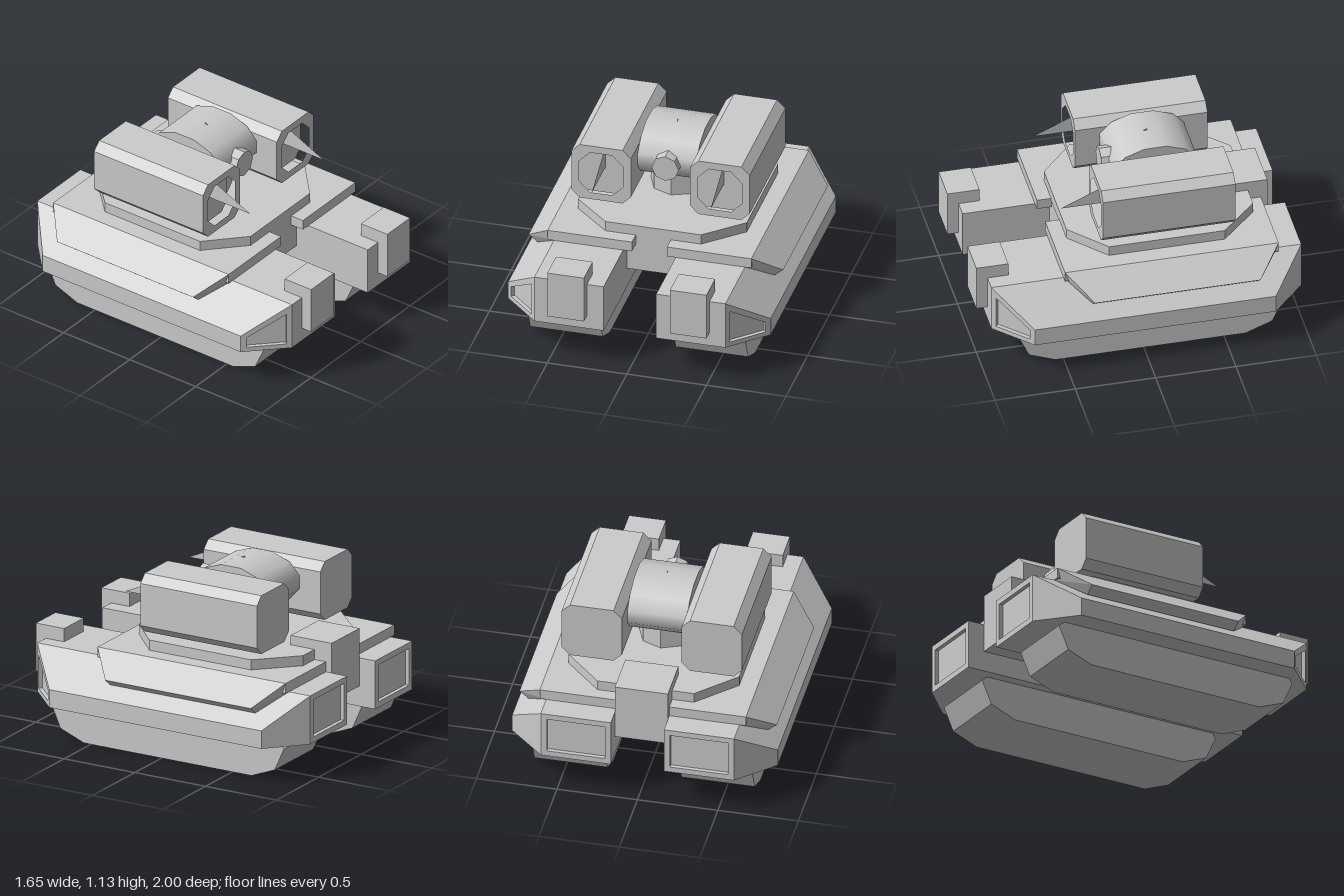
import * as THREE from 'three';
import { ConvexGeometry } from 'three/addons/geometries/ConvexGeometry.js';

const grey = new THREE.MeshStandardMaterial({ color: 0xcccccc, flatShading: true });
const smooth = new THREE.MeshStandardMaterial({ color: 0xcccccc });
const thin = new THREE.MeshStandardMaterial({ color: 0xcccccc, side: THREE.DoubleSide });
const V = (x, y, z) => new THREE.Vector3(x, y, z);

export function createModel() {
  const model = new THREE.Group();
  const add = (name, geometry, material = grey) => {
    const mesh = new THREE.Mesh(geometry, material);
    mesh.name = name;
    model.add(mesh);
    return mesh;
  };
  // Box given by its extents on each axis
  const box = (name, x0, x1, y0, y1, z0, z1) =>
    add(name, new THREE.BoxGeometry(x1 - x0, y1 - y0, z1 - z0)
      .translate((x0 + x1) / 2, (y0 + y1) / 2, (z0 + z1) / 2));
  const shapeOf = pts => new THREE.Shape(pts.map(p => new THREE.Vector2(...p)));
  const extrude = (shape, depth) => new THREE.ExtrudeGeometry(shape, { depth, bevelEnabled: false });
  // Slab from a plan outline of [x, z] points
  const slab = (name, plan, y0, y1) =>
    add(name, extrude(shapeOf(plan.map(([x, z]) => [x, -z])), y1 - y0).rotateX(-Math.PI / 2).translate(0, y0, 0));
  // Chamfered square outline
  const octagon = (cx, cy, half, flat) =>
    [[flat, half], [half, flat], [half, -flat], [flat, -half], [-flat, -half], [-half, -flat], [-half, flat], [-flat, half]]
      .map(([x, y]) => [cx + x, cy + y]);

  // Central hull, rear engine box, deck with front notch, turret ring
  box('centralHull', -0.165, 0.165, 0.37, 0.62, -0.85, 0.39);
  box('engineBox', -0.165, 0.165, 0.37, 0.74, -0.89, -0.6);
  slab('upperDeck', [[-0.64, -0.85], [0.64, -0.85], [0.64, 0.48], [0.11, 0.48], [0.11, 0.39],
    [-0.11, 0.39], [-0.11, 0.48], [-0.64, 0.48]], 0.55, 0.615);
  slab('turretRing', [[0.3, 0.392], [0.53, 0.18], [0.53, -0.54], [0.3, -0.77],
    [-0.3, -0.77], [-0.53, -0.54], [-0.53, 0.18], [-0.3, 0.392]], 0.6, 0.68);

  for (const s of [1, -1]) {
    const side = s > 0 ? 'left' : 'right';
    add(side + 'SidePod', sidePodGeometry(s));
    box(side + 'HeadlampBox', s * 0.385 - 0.115, s * 0.385 + 0.115, 0.33, 0.635, 0.8, 1);

    // Track block, its side profile drawn as [z, y]
    const track = extrude(shapeOf([[0.755, 0.25], [0.78, 0.21], [0.715, 0.065], [0.55, 0],
      [-0.635, 0], [-0.8, 0.065], [-0.865, 0.21], [-0.815, 0.25]]), 0.455);
    add(side + 'Track', track.rotateY(-Math.PI / 2).translate(s * 0.457 + 0.2275, 0, 0));

    // Sloping armour plate over the pod
    const corners = [];
    for (const [x, y, z0, z1] of [[0.64, 0.615, -0.85, 0.48], [0.6, 0.55, -0.85, 0.48],
      [0.8, 0.475, -0.7, 0.33], [0.745, 0.43, -0.7, 0.33]])
      corners.push(V(s * x, y, z0), V(s * x, y, z1));
    add(side + 'ArmourPlate', new ConvexGeometry(corners));

    // Launcher: solid rear body plus a hollow mouth with a pointed fin
    const cx = s * 0.373, cy = 0.908;
    const outline = octagon(cx, cy, 0.187, 0.135);
    add(side + 'LauncherBody', extrude(shapeOf(outline), 0.725).translate(0, 0, -0.6));
    const rim = shapeOf(outline);
    rim.holes.push(new THREE.Path(octagon(cx, cy, 0.14, 0.07).map(p => new THREE.Vector2(...p))));
    add(side + 'LauncherMouth', extrude(rim, 0.1).translate(0, 0, 0.125));
    add(side + 'LauncherFin', finGeometry(cx, [[0.125, 0.9], [0.445, 0.9], [0.125, 1.045]]), thin);
  }

  // Turret pedestal, flattened drum and its front sensor
  add('pedestal', new THREE.CylinderGeometry(0.17, 0.17, 0.16, 8).translate(0, 0.75, -0.185));
  add('drum', new THREE.CylinderGeometry(1, 1, 0.37, 12).rotateY(Math.PI / 12).rotateZ(Math.PI / 2)
    .scale(1, 0.169, 0.271).translate(0, 0.952, -0.19), smooth);
  add('sensor', new THREE.CylinderGeometry(0.085, 0.085, 0.2, 8).rotateX(Math.PI / 2).translate(0, 0.943, 0.02));
  add('sightFin', finGeometry(0, [[-0.14, 1.11], [-0.18, 1.11], [-0.18, 1.128]]), thin);
  return model;
}

// Thin upright triangle from [z, y] points
function finGeometry(x, pts) {
  const g = new THREE.BufferGeometry().setFromPoints(pts.map(([z, y]) => V(x, y, z)));
  g.computeVertexNormals();
  return g;
}

// Side pod with chamfered ends and recessed panels at the front corner and rear
function sidePodGeometry(s) {
  const out = [];
  const centre = V(s * 0.45, 0.38, 0);
  // Fan a polygon, turned to face away from (1) or towards (-1) a reference point
  const face = (pts, ref = centre, sign = 1) => {
    const n = pts[1].clone().sub(pts[0]).cross(pts[2].clone().sub(pts[0]));
    const mid = pts.reduce((a, p) => a.add(p), V(0, 0, 0)).divideScalar(pts.length);
    const p = n.dot(mid.sub(ref)) * sign < 0 ? [...pts].reverse() : pts;
    for (let i = 1; i < p.length - 1; i++) out.push(p[0], p[i], p[i + 1]);
  };
  // Flat frame around a sunken panel
  const recess = (outer, inner, inward) => {
    const floor = inner.map(p => p.clone().add(inward));
    const mid = inner.concat(floor).reduce((a, p) => a.add(p), V(0, 0, 0)).divideScalar(8);
    for (let i = 0; i < 4; i++) {
      const j = (i + 1) % 4;
      face([outer[i], outer[j], inner[j], inner[i]]);
      face([inner[i], inner[j], floor[j], floor[i]], mid, -1);
    }
    face(floor);
  };
  const P = (x, y, z) => V(s * x, y, z);
  const plan = [[0.165, 0.93], [0.6, 0.93], [0.825, 0.71], [0.825, -0.79], [0.6, -1], [0.165, -1]];
  face(plan.map(([x, z]) => P(x, 0.24, z)));
  face([P(0.165, 0.55, 0.93), P(0.6, 0.55, 0.93), P(0.6, 0.55, -1), P(0.165, 0.55, -1)]);
  face([P(0.6, 0.55, 0.93), P(0.825, 0.355, 0.71), P(0.825, 0.355, -0.79), P(0.6, 0.55, -1)]);
  face([P(0.825, 0.24, 0.71), P(0.825, 0.355, 0.71), P(0.825, 0.355, -0.79), P(0.825, 0.24, -0.79)]);
  face([P(0.165, 0.24, 0.93), P(0.165, 0.55, 0.93), P(0.165, 0.55, -1), P(0.165, 0.24, -1)]);
  face([P(0.165, 0.24, 0.93), P(0.6, 0.24, 0.93), P(0.6, 0.55, 0.93), P(0.165, 0.55, 0.93)]);
  face([P(0.6, 0.24, -1), P(0.825, 0.24, -0.79), P(0.825, 0.355, -0.79), P(0.6, 0.55, -1)]);
  const corner = (x, y) => P(x, y, 0.93 - (x - 0.6) * 0.22 / 0.225);
  recess([corner(0.6, 0.24), corner(0.825, 0.24), corner(0.825, 0.355), corner(0.6, 0.55)],
    [corner(0.624, 0.271), corner(0.8, 0.271), corner(0.8, 0.338), corner(0.624, 0.484)],
    P(-0.017, 0, -0.018));
  const rect = d => [P(0.165 + d, 0.24 + d, -1), P(0.6 - d, 0.24 + d, -1),
    P(0.6 - d, 0.55 - d, -1), P(0.165 + d, 0.55 - d, -1)];
  recess(rect(0), rect(0.037), V(0, 0, 0.025));
  const g = new THREE.BufferGeometry().setFromPoints(out);
  g.computeVertexNormals();
  return g;
}
